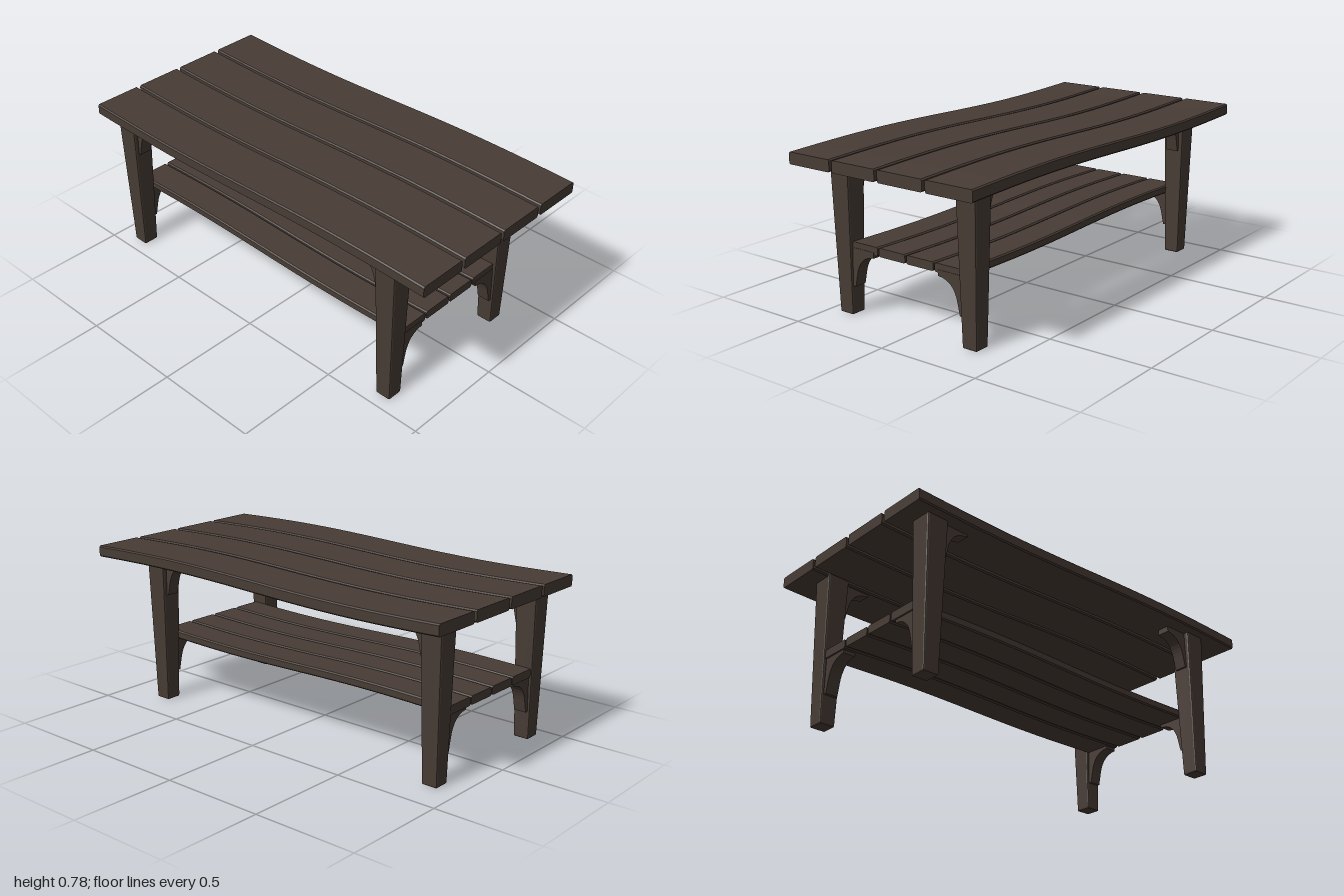
import * as THREE from 'three';
import { RoundedBoxGeometry } from 'three/addons/geometries/RoundedBoxGeometry.js';

const wood = new THREE.MeshStandardMaterial({ color: 0x483c35, flatShading: true });
wood.name = 'dark wood';

// Plank along x with chamfered edges, bent into one gentle sine wave
function plank(name, x0, x1, z0, z1, y, thickness, wave) {
  const a = (z1 - z0) / 2, b = thickness / 2, c = 0.006;
  const section = new THREE.Shape([
    [-a + c, -b], [a - c, -b], [a, -b + c], [a, b - c],
    [a - c, b], [-a + c, b], [-a, b - c], [-a, -b + c],
  ].map(([u, v]) => new THREE.Vector2(u, v)));
  const length = x1 - x0;
  const geo = new THREE.ExtrudeGeometry(section, { depth: length, steps: 24, bevelEnabled: false });
  geo.translate(0, 0, -length / 2);
  geo.rotateY(Math.PI / 2);
  const p = geo.attributes.position;
  for (let i = 0; i < p.count; i++) {
    p.setY(i, p.getY(i) + wave * Math.sin((p.getX(i) / length) * Math.PI * 2));
  }
  geo.computeVertexNormals();
  const mesh = new THREE.Mesh(geo, wood);
  mesh.name = name;
  mesh.position.set((x0 + x1) / 2, y, (z0 + z1) / 2);
  return mesh;
}

// Square leg, narrower towards the foot
function leg(x, z) {
  const h = 0.735;
  const geo = new RoundedBoxGeometry(0.108, h, 0.108, 1, 0.008);
  const p = geo.attributes.position;
  for (let i = 0; i < p.count; i++) {
    const s = THREE.MathUtils.lerp(0.7, 1, p.getY(i) / h + 0.5);
    p.setX(i, p.getX(i) * s);
    p.setZ(i, p.getZ(i) * s);
  }
  geo.computeVertexNormals();
  const mesh = new THREE.Mesh(geo, wood);
  mesh.name = 'leg';
  mesh.position.set(x, h / 2, z);
  return mesh;
}

// Curved brace: runs out along local +x and down the leg
const braceShape = new THREE.Shape();
braceShape.moveTo(-0.02, 0.01);
braceShape.lineTo(-0.02, -0.17);
braceShape.lineTo(0.01, -0.17);
braceShape.lineTo(0.023, -0.11);
braceShape.bezierCurveTo(0.035, -0.055, 0.065, -0.02, 0.125, -0.017);
braceShape.lineTo(0.125, 0.01);
braceShape.closePath();
const braceGeo = new THREE.ExtrudeGeometry(braceShape, { depth: 0.06, bevelEnabled: false, curveSegments: 8 });
braceGeo.translate(0, 0, -0.03);

function brace(name, x, y, z, angle) {
  const mesh = new THREE.Mesh(braceGeo, wood);
  mesh.name = name;
  mesh.position.set(x, y, z);
  mesh.rotation.y = angle;
  return mesh;
}

export function createModel() {
  const table = new THREE.Group();
  table.name = 'table';

  // Table top
  for (const [z0, z1] of [[0.263, 0.5], [0.009, 0.247], [-0.245, -0.007], [-0.5, -0.261]]) {
    table.add(plank('topPlank', -1, 1, z0, z1, 0.738, 0.054, 0.011));
  }

  // Lower shelf between the legs
  for (const [z0, z1] of [[0.208, 0.36], [0.05, 0.2], [-0.109, 0.041], [-0.27, -0.117]]) {
    table.add(plank('shelfPlank', -0.9, 0.79, z0, z1, 0.322, 0.04, -0.008));
  }

  // Legs, each with a brace under the top and one under the shelf
  for (const [x, sx] of [[-0.862, 1], [0.762, -1]]) {
    for (const [z, sz] of [[0.4, -1], [-0.307, 1]]) {
      table.add(leg(x, z));
      table.add(brace('topBrace', x + sx * 0.05, 0.708, z, sx > 0 ? 0 : Math.PI));
      table.add(brace('shelfBrace', x, 0.305, z + sz * 0.045, sz > 0 ? -Math.PI / 2 : Math.PI / 2));
    }
  }
  return table;
}
